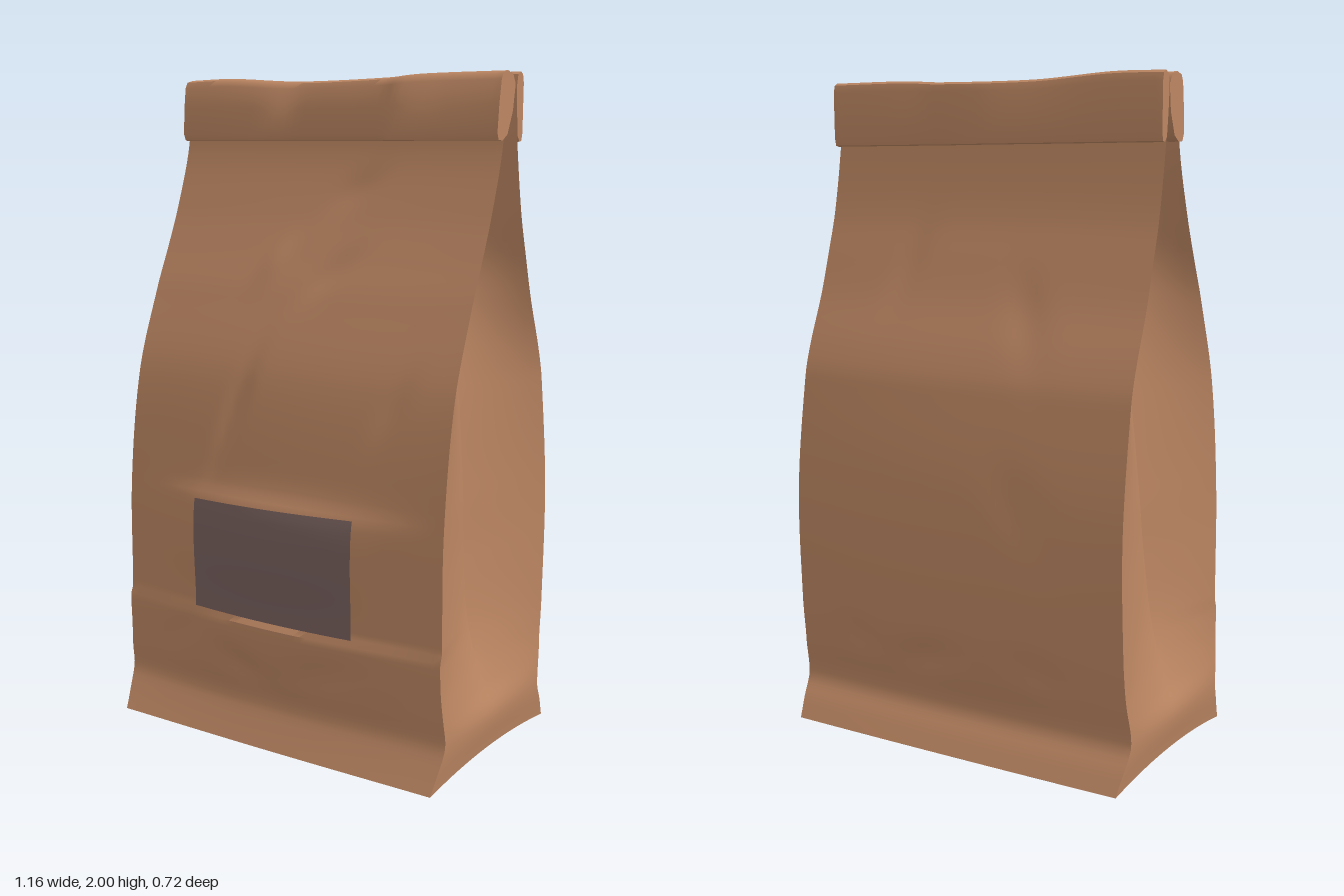
import * as THREE from 'three';
import { toCreasedNormals } from 'three/addons/utils/BufferGeometryUtils.js';

// Smooth curve through [t, value] knots
function curve(k) {
  const slope = i => {
    const a = k[Math.max(i - 1, 0)], b = k[Math.min(i + 1, k.length - 1)];
    return (b[1] - a[1]) / (b[0] - a[0]);
  };
  return t => {
    t = Math.min(Math.max(t, k[0][0]), k[k.length - 1][0]);
    let i = 0;
    while (i < k.length - 2 && t > k[i + 1][0]) i++;
    const h = k[i + 1][0] - k[i][0], s = (t - k[i][0]) / h, s2 = s * s, s3 = s2 * s;
    return (2 * s3 - 3 * s2 + 1) * k[i][1] + (s3 - 2 * s2 + s) * h * slope(i)
      + (3 * s2 - 2 * s3) * k[i + 1][1] + (s3 - s2) * h * slope(i + 1);
  };
}

// Grid surface from a rule f(u, v) -> [x, y, z]
function sheet(nu, nv, f, angle = 0.6) {
  const pos = [], idx = [];
  for (let j = 0; j <= nv; j++)
    for (let i = 0; i <= nu; i++) pos.push(...f(i / nu, j / nv));
  for (let j = 0; j < nv; j++)
    for (let i = 0; i < nu; i++) {
      const a = j * (nu + 1) + i, b = a + 1, c = a + nu + 1, d = c + 1;
      idx.push(a, b, d, a, d, c);
    }
  const g = new THREE.BufferGeometry();
  g.setAttribute('position', new THREE.Float32BufferAttribute(pos, 3));
  g.setIndex(idx);
  return toCreasedNormals(g, angle);
}

// Bag outline by height
const NECK = 1.96;
const halfWidth = curve([[0, 0.567], [0.13, 0.581], [0.3, 0.572], [1, 0.567], [NECK, 0.563]]);
const frontEdge = curve([[0, 0.355], [0.06, 0.325], [0.13, 0.297], [0.2, 0.304], [0.3, 0.312], [0.38, 0.314],
  [0.4, 0.306], [0.75, 0.3], [1.1, 0.25], [1.35, 0.16], [1.48, 0.102], [1.6, 0.052], [1.78, -0.006], [NECK, -0.03]]);
const frontBulge = curve([[0, 0.005], [0.13, 0.012], [0.28, 0.034], [0.38, 0.042], [0.4, 0.036], [0.6, 0.048],
  [0.74, 0.042], [0.78, 0.022], [0.86, 0.012], [1.35, 0.006], [1.7, 0], [NECK, 0]]);
const backEdge = curve([[0, -0.355], [0.06, -0.325], [0.13, -0.29], [0.25, -0.309], [0.4, -0.326], [0.75, -0.335],
  [1.1, -0.292], [1.2, -0.264], [1.35, -0.206], [1.48, -0.166], [1.6, -0.132], [1.78, -0.1], [NECK, -0.078]]);
const backBulge = curve([[0, 0.004], [0.13, 0.004], [0.4, 0.02], [0.75, 0.016], [1.2, 0.008], [1.6, 0], [NECK, 0]]);
const gussetDepth = curve([[0, 0], [0.13, 0.002], [0.22, 0.03], [0.4, 0.078], [0.6, 0.1], [0.8, 0.112], [1.1, 0.142],
  [1.35, 0.2], [1.5, 0.27], [1.65, 0.315], [NECK, 0.34]]);
const gussetZ = curve([[0, 0], [0.4, 0.012], [0.75, -0.008], [1.1, -0.025], [1.4, -0.05], [1.6, -0.055],
  [NECK, -0.055]]);

// Soft creases pressed into the paper: x, y, half width, half height, lean, depth
const frontDents = [[-0.18, 1.0, 0.03, 0.16, 0.3, -0.012], [-0.12, 0.24, 0.08, 0.06, -0.8, -0.012],
  [0.2, 0.27, 0.12, 0.06, 0.9, -0.009], [-0.36, 0.3, 0.06, 0.06, 0.8, -0.009], [0.08, 1.42, 0.05, 0.07, 0.8, -0.009],
  [-0.13, 1.45, 0.04, 0.06, 0.4, 0.008], [0.38, 1.08, 0.04, 0.09, 0.4, -0.008], [0.1, 1.66, 0.06, 0.06, 0.7, -0.008],
  [0.4, 0.6, 0.08, 0.1, 0, -0.006]];
const backDents = [[-0.3, 0.3, 0.08, 0.06, 0.7, -0.01], [0.1, 0.28, 0.1, 0.06, -0.7, -0.01],
  [0.36, 0.32, 0.07, 0.06, 0.5, -0.01], [-0.2, 1.3, 0.06, 0.12, 0.3, -0.008], [0.25, 1.45, 0.05, 0.1, -0.3, -0.007],
  [-0.25, 0.75, 0.08, 0.12, 0.4, -0.007]];
const press = (dents, x, y) => dents.reduce((sum, [cx, cy, rx, ry, lean, d]) => {
  const p = (x - cx - lean * (y - cy)) / rx, q = (y - cy) / ry;
  return sum + d * Math.exp(-p * p - q * q);
}, 0);
const arch = s => Math.max(0, 1 - s * s);
const frontZ = (x, y) => {
  const a = arch(x / halfWidth(y));
  return frontEdge(y) + a ** 1.6 * frontBulge(y) + a * press(frontDents, x, y);
};
const backZ = (x, y) => backEdge(y) - arch(x / halfWidth(y)) * (backBulge(y) + press(backDents, x, y));

export function createModel() {
  const bag = new THREE.Group();
  bag.name = 'paperBag';
  const paper = new THREE.MeshStandardMaterial({ color: 0xbc8662, side: THREE.DoubleSide });
  paper.name = 'kraftPaper';
  const film = new THREE.MeshStandardMaterial({ color: 0x78615e, side: THREE.DoubleSide });
  film.name = 'windowFilm';
  const add = (name, geometry, material = paper) => {
    const m = new THREE.Mesh(geometry, material);
    m.name = name;
    bag.add(m);
  };

  // Front and back panels
  const panel = (zAt, dir) => sheet(48, 98, (u, v) => {
    const y = v * NECK, x = dir * (2 * u - 1) * halfWidth(y);
    return [x, y, zAt(x, y)];
  });
  add('frontPanel', panel(frontZ, 1));
  add('backPanel', panel(backZ, -1));

  // Side panels folded inwards towards the neck
  for (const side of [1, -1]) {
    add(side > 0 ? 'leftGusset' : 'rightGusset', sheet(16, 98, (u, v) => {
      const y = v * NECK, s = side * (1 - 2 * u), mid = gussetZ(y);
      const end = s > 0 ? frontEdge(y) : backEdge(y);
      const x = halfWidth(y) - gussetDepth(y) * (1 - Math.abs(s));
      const lift = 0.025 * arch(s) * Math.max(0, 1 - y / 0.2);
      return [side * x, y + lift, mid + (end - mid) * Math.abs(s)];
    }, 0.35));
  }

  // Base, slightly arched between front and back
  add('base', sheet(16, 12, (u, v) => {
    const x = (2 * u - 1) * halfWidth(0), s = 2 * v - 1;
    return [x, 0.025 * arch(s), s > 0 ? s * frontZ(x, 0) : -s * backZ(x, 0)];
  }));

  // Window following the front panel
  add('window', sheet(24, 18, (u, v) => {
    const y = 0.397 + v * (0.341 + 0.012 * u), x = -0.286 + 0.572 * u;
    return [x, y, frontZ(x, y) + 0.004];
  }), film);

  // Rolled cuffs: closed [z, y] section carried along x with a wavy offset, closed at both ends
  const cuff = (section, shift, rise) => {
    const n = section.length, rows = 50;
    const mean = [0, 1].map(c => section.reduce((s, p) => s + p[c], 0) / n);
    return sheet(n, rows, (u, v) => {
      const j = Math.round(v * rows), capped = j === 0 || j === rows;
      const x = -0.565 + 1.13 * Math.min(Math.max((j - 1) / (rows - 2), 0), 1);
      const p = capped ? mean : section[Math.round(u * n) % n];
      const top = (p[1] - 1.8) / 0.2;
      return [x, p[1] + rise(x) * top, p[0] + shift(x) * (1.1 - 0.7 * top)];
    }, 0.8);
  };
  const sag = curve([[-0.57, -0.002], [-0.4, 0], [-0.15, -0.014], [0.18, -0.01], [0.3, -0.003], [0.57, -0.001]]);
  add('frontCuff', cuff(
    [[-0.01, 1.825], [0.02, 1.808], [0.044, 1.81], [0.05, 1.83], [0.036, 1.91], [0.02, 1.975], [0.008, 1.993],
      [-0.02, 2], [-0.05, 1.992], [-0.064, 1.965], [-0.045, 1.89]],
    curve([[-0.57, -0.036], [-0.35, -0.018], [-0.22, -0.01], [-0.12, -0.034], [0.02, -0.034], [0.185, -0.028],
      [0.24, 0.004], [0.4, -0.006], [0.57, -0.022]]), sag));
  add('backCuff', cuff(
    [[-0.098, 1.82], [-0.11, 1.805], [-0.122, 1.808], [-0.127, 1.83], [-0.127, 1.97], [-0.121, 1.993],
      [-0.108, 2], [-0.092, 1.992], [-0.085, 1.96], [-0.09, 1.89]],
    curve([[-0.57, 0.003], [-0.3, 0], [-0.02, -0.01], [0.18, 0.014], [0.35, 0.004], [0.57, 0.003]]), sag));

  return bag;
}
